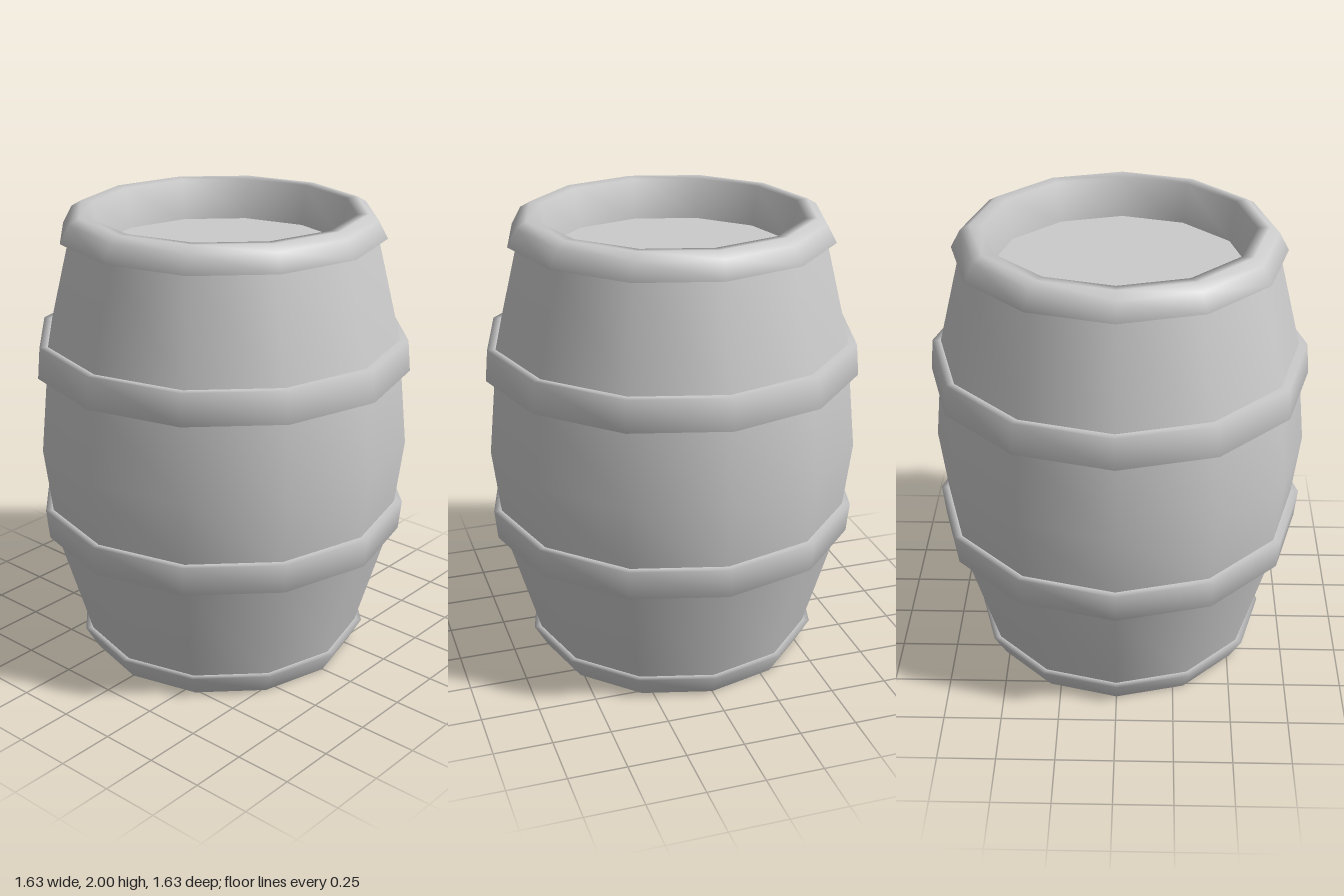
import * as THREE from 'three';

const SIDES = 12;
const material = new THREE.MeshStandardMaterial({ color: 0xcccccc });

function addMesh(group, name, geometry) {
  const mesh = new THREE.Mesh(geometry, material);
  mesh.name = name;
  group.add(mesh);
  return mesh;
}

// Revolve a [radius, height] profile, listed from bottom to top on the outside
function addRing(group, name, profile) {
  const points = profile.map(([r, y]) => new THREE.Vector2(r, y));
  return addMesh(group, name, new THREE.LatheGeometry(points, SIDES));
}

// Flat disc facing up or down
function addDisc(group, name, radius, y, facing) {
  const disc = addMesh(group, name, new THREE.CircleGeometry(radius, SIDES));
  disc.rotation.x = -facing * Math.PI / 2;
  disc.position.y = y;
  return disc;
}

export function createModel() {
  const barrel = new THREE.Group();
  barrel.name = 'barrel';

  // Bulging wall
  addRing(barrel, 'staves', [
    [0.595, 0], [0.62, 0.1], [0.76, 0.58], [0.775, 0.71], [0.81, 1],
    [0.778, 1.33], [0.767, 1.465], [0.66, 1.9],
  ]);

  // Hoops, each with a narrow ledge back to the wall
  addRing(barrel, 'bottomHoop', [[0.595, 0], [0.652, 0.1], [0.618, 0.1]]);
  addRing(barrel, 'lowerHoop', [[0.76, 0.585], [0.797, 0.585], [0.81, 0.715], [0.775, 0.715]]);
  addRing(barrel, 'upperHoop', [[0.778, 1.33], [0.815, 1.33], [0.803, 1.465], [0.767, 1.465]]);

  // Rounded rim that rolls over the top and down to the lid
  addRing(barrel, 'topRim', [
    [0.66, 1.9], [0.698, 1.9], [0.657, 1.975], [0.615, 2], [0.565, 1.995], [0.54, 1.82],
  ]);

  // Recessed lid and base
  addDisc(barrel, 'lid', 0.54, 1.82, 1);
  addDisc(barrel, 'base', 0.595, 0, -1);

  return barrel;
}
